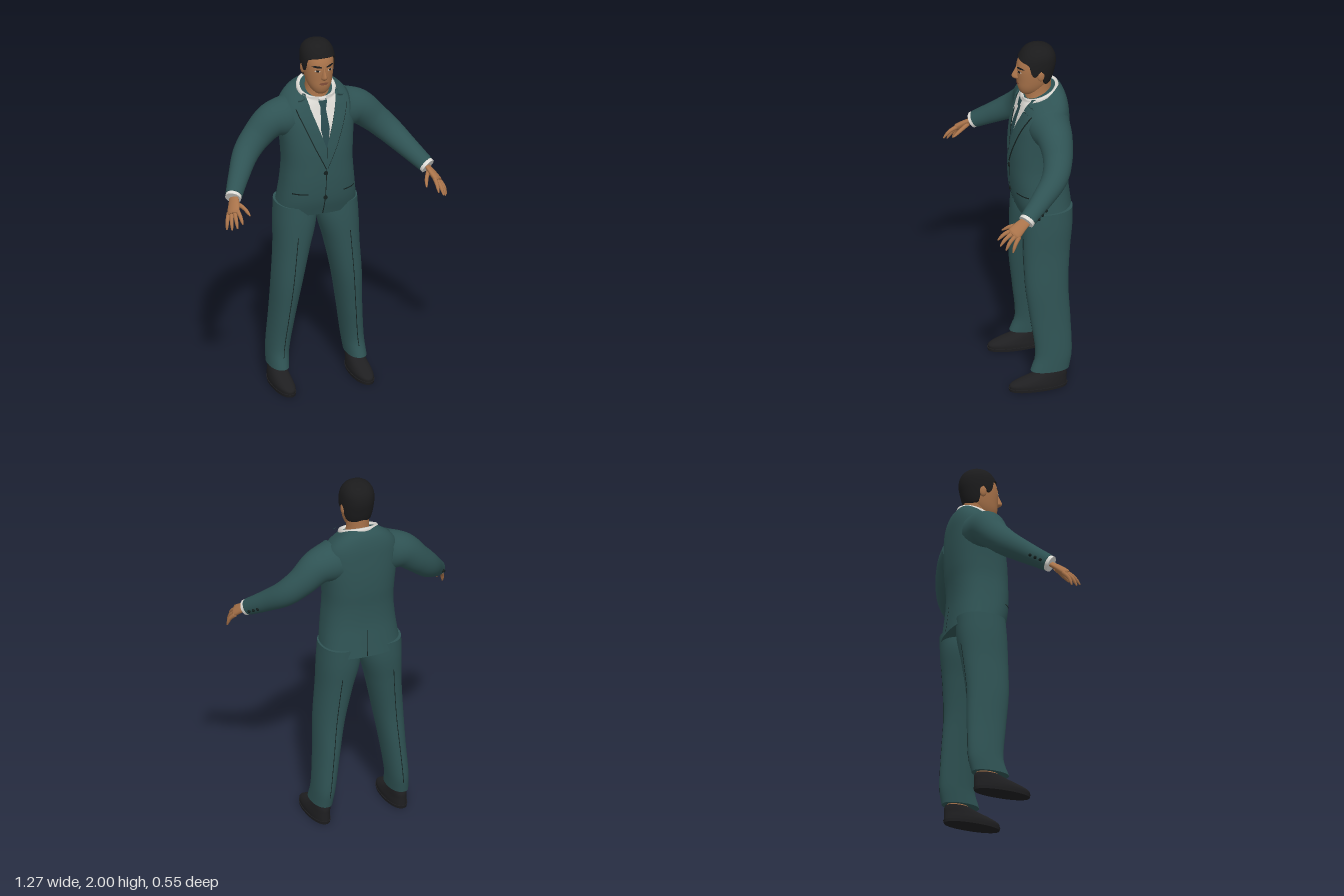
import * as THREE from 'three';

const material = (name, color) => {
  const m = new THREE.MeshStandardMaterial({ color });
  m.name = name;
  return m;
};
const SUIT = material('suit cloth', 0x2f5354);
const TIE = material('tie cloth', 0x294a4e);
const SEAM = material('seams', 0x14201f);
const WHITE = material('shirt', 0xdedcd6);
const SKIN = material('skin', 0xa9734a);
const LIP = material('lips', 0x84503a);
const HAIR = material('hair', 0x1b1b1c);
const SHOE = material('shoe leather', 0x1f1f21);

// Smooth lookup in a table whose first column is the key
function at(keys, t) {
  const last = keys.length - 1;
  if (t <= keys[0][0]) return keys[0];
  if (t >= keys[last][0]) return keys[last];
  let i = 0;
  while (t > keys[i + 1][0]) i++;
  const slope = (k, c) => {
    const a = keys[Math.max(k - 1, 0)], b = keys[Math.min(k + 1, last)];
    return (b[c] - a[c]) / (b[0] - a[0]);
  };
  const h = keys[i + 1][0] - keys[i][0], u = (t - keys[i][0]) / h, u2 = u * u, u3 = u2 * u;
  return keys[i].map((v, c) => c === 0 ? t :
    (2 * u3 - 3 * u2 + 1) * v + (3 * u2 - 2 * u3) * keys[i + 1][c] +
    h * ((u3 - 2 * u2 + u) * slope(i, c) + (u3 - u2) * slope(i + 1, c)));
}

// Body tables: [y, centre x, half width, front z, back z]; n is the roundness exponent
const TORSO = { n: 2.5, tilt: 0.04, keys: [
  [1.015, 0, .222, .02, -.272], [1.1, 0, .212, .045, -.262], [1.2, 0, .2, .055, -.252], [1.3, 0, .192, .055, -.252],
  [1.4, 0, .196, .05, -.26], [1.5, 0, .205, .035, -.262], [1.58, 0, .21, .018, -.258], [1.64, 0, .195, .003, -.25],
  [1.69, 0, .15, -.01, -.23], [1.72, 0, .1, -.02, -.2]] };
const HEAD = { n: 2.2, keys: [
  [1.715, 0, .03, -.01, -.08], [1.73, 0, .046, .002, -.11], [1.76, 0, .062, .012, -.14], [1.8, 0, .073, .015, -.165],
  [1.86, 0, .081, .018, -.182], [1.9, 0, .082, .012, -.188], [1.94, 0, .077, -.008, -.182], [1.97, 0, .06, -.032, -.162],
  [1.987, 0, .036, -.06, -.132], [1.993, 0, .012, -.085, -.105]] };
const NOSE = { n: 2, keys: [[1.803, 0, .008, .022, -.02], [1.815, 0, .018, .04, -.02], [1.828, 0, .015, .046, -.02],
  [1.865, 0, .008, .028, -.02], [1.89, 0, .005, .016, -.02]] };
const NECK = { n: 2, keys: [[1.66, 0, .08, -.03, -.18], [1.72, 0, .062, -.035, -.172], [1.82, 0, .06, -.04, -.172]] };
const LEG = { n: 2.2, keys: [
  [.108, .222, .053, -.002, -.213], [.2, .214, .056, -.03, -.23], [.4, .192, .064, -.01, -.228], [.6, .17, .078, .014, -.222],
  [.8, .142, .094, .02, -.237], [.95, .122, .112, .02, -.255], [1.06, .12, .108, .012, -.258]] };
const SHOES = { n: 2.2, keys: [[.014, .224, .053, .116, -.2], [.035, .224, .054, .114, -.2], [.055, .224, .051, .075, -.2],
  [.08, .223, .046, .0, -.2], [.1, .222, .042, -.05, -.195]] };
const SOLE = { n: 2.2, keys: [[0, .224, .054, .117, -.2], [.016, .224, .057, .121, -.204]] };
const ANKLE = { n: 2, keys: [[.07, .222, .037, -.06, -.188], [.16, .222, .037, -.06, -.188]] };

// Shear that raises the back of the top rings above the front
const lift = (b, y) => (b.tilt || 0) * THREE.MathUtils.smoothstep(y, 1.5, 1.7);

function ringPoint(b, y, a, off = 0) {
  const [, cx, rx, f, k] = at(b.keys, y);
  const pw = v => Math.sign(v) * Math.abs(v) ** (2 / b.n);
  const s = pw(Math.sin(a));
  return new THREE.Vector3(cx + (rx + off) * pw(Math.cos(a)), y - lift(b, y) * s, (f + k) / 2 + ((f - k) / 2 + off) * s);
}

// Point on the front (side 1) or back (side -1) of a body at a given x, y
function surfacePoint(b, x, y, side, off) {
  let yk = y, p;
  for (let i = 0; i < 5; i++) {
    const [, cx, rx, f, k] = at(b.keys, yk);
    const c = Math.min(Math.abs((x - cx) / rx), 1);
    const s = side * (1 - c ** b.n) ** (1 / b.n);
    p = new THREE.Vector3(x, y, (f + k) / 2 + (f - k) / 2 * s + off * side);
    yk = y + lift(b, yk) * s;
  }
  return p;
}

// Surface through rows of points; closed rows wrap round and may be capped
function skinRows(rows, closed, caps) {
  const m = rows[0].length, pts = rows.flat(), index = [];
  for (let i = 0; i < rows.length - 1; i++) for (let j = 0; j < (closed ? m : m - 1); j++) {
    const a = i * m + j, b = i * m + (j + 1) % m, c = a + m, d = b + m;
    index.push(a, c, b, c, d, b);
  }
  if (caps) [rows[0], rows[rows.length - 1]].forEach((row, e) => {
    const mid = row.reduce((s, p) => s.add(p), new THREE.Vector3()).divideScalar(m);
    const base = pts.length;
    pts.push(...row, mid);
    for (let j = 0; j < m; j++) {
      const p = base + j, q = base + (j + 1) % m;
      index.push(...(e ? [p, base + m, q] : [p, q, base + m]));
    }
  });
  const g = new THREE.BufferGeometry().setFromPoints(pts);
  g.setIndex(index);
  g.computeVertexNormals();
  return g;
}

function loft(b, count = 30, sides = 40) {
  const y0 = b.keys[0][0], y1 = b.keys[b.keys.length - 1][0];
  return skinRows(Array.from({ length: count + 1 }, (_, i) => Array.from({ length: sides }, (_, j) =>
    ringPoint(b, y0 + (y1 - y0) * i / count, j / sides * Math.PI * 2))), true, true);
}

// Thin cloth or paint laid on a body; rows are [y, x0, x1] from top to bottom
function patch(b, rows, off, side = 1) {
  const grid = [], across = 8, down = 8;
  for (let r = 0; r < rows.length - 1; r++) for (let i = r ? 1 : 0; i <= down; i++) {
    const [y, x0, x1] = rows[r].map((v, c) => v + (rows[r + 1][c] - v) * i / down);
    grid.push(Array.from({ length: across + 1 }, (_, j) =>
      surfacePoint(b, x0 + (x1 - x0) * (side > 0 ? j : across - j) / across, y, side, off)));
  }
  return skinRows(grid.map(row => row.reverse()).reverse(), false, false);
}

// Tapered tube along a curve; flat squashes it across the hint direction
function limb(points, radii, hint = [0, 1, 0], flat = 1, count = 24, sides = 20) {
  const curve = new THREE.CatmullRomCurve3(points.map(p => new THREE.Vector3(...p)));
  const table = radii.map((r, i) => [i / (radii.length - 1), r]);
  return skinRows(Array.from({ length: count + 1 }, (_, i) => {
    const t = i / count, c = curve.getPoint(t), T = curve.getTangent(t), r = at(table, t)[1];
    const U = new THREE.Vector3(...hint).addScaledVector(T, -T.dot(new THREE.Vector3(...hint))).normalize();
    const V = new THREE.Vector3().crossVectors(U, T);
    return Array.from({ length: sides }, (_, j) => {
      const a = j / sides * Math.PI * 2;
      return c.clone().addScaledVector(U, r * Math.cos(a)).addScaledVector(V, r * flat * Math.sin(a));
    });
  }), true, true);
}

const ball = (x, y, z, sx, sy, sz) => new THREE.SphereGeometry(1, 20, 14).scale(sx, sy, sz).translate(x, y, z);

function mirrored(g) {
  const m = g.clone().scale(-1, 1, 1), ix = m.index.array;
  for (let i = 0; i < ix.length; i += 3) [ix[i], ix[i + 1]] = [ix[i + 1], ix[i]];
  return m;
}

export function createModel() {
  const model = new THREE.Group();
  const add = (name, g, mat) => {
    const mesh = new THREE.Mesh(g, mat);
    mesh.name = name;
    model.add(mesh);
  };
  const pair = (name, g, mat) => { add(name + 'Left', g, mat); add(name + 'Right', mirrored(g), mat); };

  // Head and face
  add('head', loft(HEAD, 44), SKIN);
  add('neck', loft(NECK, 8), SKIN);
  add('nose', loft(NOSE, 16, 20), SKIN);
  add('mouth', patch(HEAD, [[1.79, -.012, .012], [1.784, -.029, .029], [1.775, -.014, .014]], .003), LIP);
  pair('ear', ball(.083, 1.848, -.095, .011, .032, .02), SKIN);
  pair('eyebrow', patch(HEAD, [[1.891, .03, .05], [1.884, .012, .064], [1.879, .013, .035]], .004), HAIR);
  pair('eyeWhite', patch(HEAD, [[1.866, .028, .042], [1.861, .02, .052], [1.856, .028, .042]], .002), WHITE);
  pair('pupil', patch(HEAD, [[1.868, .026, .045], [1.862, .028, .043], [1.856, .031, .04]], .004), HAIR);

  // Hair cap with a shaped hairline: [sine of the angle round the head, y]
  const hairline = [[-1, 1.785], [-.45, 1.79], [-.25, 1.83], [-.1, 1.88], [.1, 1.845], [.3, 1.86], [.5, 1.91], [1, 1.93]];
  add('hair', skinRows(Array.from({ length: 31 }, (_, i) => Array.from({ length: 72 }, (_, j) => {
    const a = j / 72 * Math.PI * 2, t = Math.max(i - 1, 0) / 29, y0 = at(hairline, Math.sin(a))[1];
    const p = ringPoint(HEAD, y0 + (1.993 - y0) * t, a, i ? .009 : -.004);
    p.y += .007 * t;
    return p;
  })), true, true), HAIR);

  // Jacket body, shirt front, tie and lapels
  add('jacket', loft(TORSO, 48, 56), SUIT);
  add('shirtFront', patch(TORSO, [[1.69, -.08, .08], [1.6, -.066, .066], [1.42, -.006, .006]], .003), WHITE);
  add('tie', patch(TORSO, [[1.64, -.014, .014], [1.52, -.025, .025], [1.42, -.008, .008]], .006), TIE);
  add('tieKnot', patch(TORSO, [[1.685, -.022, .022], [1.67, -.024, .024], [1.632, -.014, .014]], .014), TIE);
  const lapel = [[1.635, .07, .142], [1.6, .06, .132], [1.43, .004, .064], [1.3, -.002, .003]];
  pair('lapel', patch(TORSO, lapel, .009), SUIT);
  pair('lapelEdge', patch(TORSO, lapel.map(([y, a, b]) => [y - .002, a, b + .004]), .005), SEAM);
  pair('upperLapel', patch(TORSO, [[1.71, .085, .105], [1.68, .08, .13], [1.64, .071, .125]], .009), SUIT);
  add('frontOpening', patch(TORSO, [[1.31, -.002, .002], [1.15, -.007, -.003], [1.02, -.014, -.008]], .002), SEAM);
  add('backVent', patch(TORSO, [[1.17, .008, .011], [1.02, .014, .019]], .002, -1), SEAM);
  pair('pocket', patch(TORSO, [[1.155, .1, .178], [1.148, .1, .178]], .003), SEAM);
  [1.272, 1.125].forEach(y => {
    const p = surfacePoint(TORSO, -.005, y, 1, .003);
    add('jacketButton', new THREE.CylinderGeometry(.011, .012, .008, 16).rotateX(Math.PI / 2).translate(p.x, p.y, p.z), SEAM);
  });

  // Standing shirt collar, higher at the back: [radius, y]
  add('collar', skinRows([[.105, 1.69], [.11, 1.715], [.105, 1.729], [.097, 1.731], [.085, 1.715], [.058, 1.7]].map(([r, y]) =>
    Array.from({ length: 40 }, (_, j) => {
      const a = j / 40 * Math.PI * 2;
      return new THREE.Vector3(r * Math.cos(a), y - .036 * Math.sin(a), -.108 + r * .95 * Math.sin(a));
    })), true, false), WHITE);
  pair('collarWing', patch(TORSO, [[1.7, .02, .085], [1.66, .024, .074], [1.59, .046, .052]], .013), WHITE);

  // Sleeves, cuffs and sleeve buttons
  const armPath = [[.15, 1.565, -.125], [.245, 1.545, -.13], [.335, 1.47, -.122], [.41, 1.398, -.085], [.487, 1.318, .01], [.55, 1.252, .1]];
  pair('sleeve', limb(armPath, [.115, .096, .08, .071, .057, .046], [0, 1, 0], 1, 40, 28), SUIT);
  pair('cuff', limb([[.54, 1.262, .086], [.559, 1.242, .114]], [.042, .044], [0, 1, 0], 1, 4), WHITE);
  const arm = new THREE.CatmullRomCurve3(armPath.map(p => new THREE.Vector3(...p)));
  [.85, .9, .95].forEach(t => {
    const p = arm.getPoint(t).addScaledVector(new THREE.Vector3(.7, -.3, -.65).normalize(), .046 + (1 - t) * .055);
    pair('sleeveButton', ball(p.x, p.y, p.z, .009, .009, .009), SEAM);
  });

  // Hands
  const spread = [.63, -.45, -.63];
  pair('palm', limb([[.553, 1.248, .104], [.567, 1.225, .145], [.584, 1.196, .185], [.588, 1.189, .195]],
    [.026, .034, .039, .03], spread, .48), SKIN);
  const fingers = {
    indexFinger: [[.566, 1.208, .195], [.564, 1.187, .238], [.562, 1.155, .272]],
    middleFinger: [[.578, 1.2, .186], [.587, 1.172, .233], [.591, 1.132, .266]],
    ringFinger: [[.591, 1.19, .175], [.605, 1.157, .215], [.612, 1.114, .24]],
    littleFinger: [[.602, 1.182, .163], [.621, 1.147, .19], [.629, 1.105, .205]],
    thumb: [[.551, 1.224, .14], [.523, 1.207, .188], [.506, 1.18, .234]],
  };
  for (const [name, path] of Object.entries(fingers))
    pair(name, limb(path, [.0125, .0115, .0105, .009, .004], spread, .95, 12, 12), SKIN);

  // Trousers with pressed creases, then shoes
  pair('trouserLeg', loft(LEG, 44), SUIT);
  const crease = [[.89, .147, .151], [.5, .181, .185], [.17, .213, .217]];
  pair('frontCrease', patch(LEG, crease, .002), SEAM);
  pair('backCrease', patch(LEG, crease, .002, -1), SEAM);
  pair('ankle', loft(ANKLE, 4, 24), SKIN);
  pair('shoe', loft(SHOES, 20), SHOE);
  pair('sole', loft(SOLE, 2), SHOE);

  return model;
}
